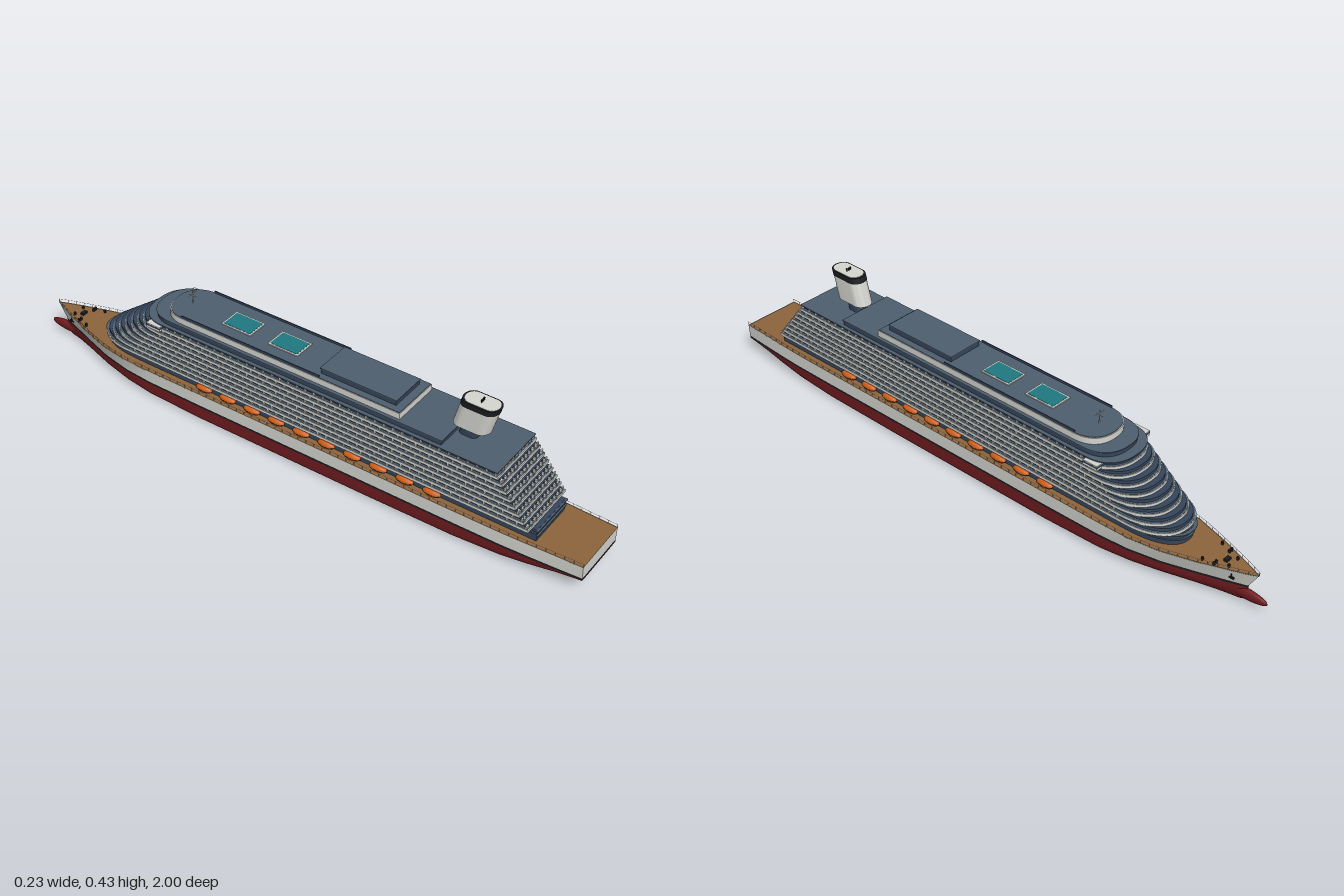
import * as THREE from 'three';
import { mergeGeometries, toCreasedNormals } from 'three/addons/utils/BufferGeometryUtils.js';

const mat = (name, color, side = THREE.FrontSide) => {
  const m = new THREE.MeshStandardMaterial({ color, side });
  m.name = name;
  return m;
};

export function createModel() {
  const white = mat('white paint', 0xd6d6d1, THREE.DoubleSide);
  const red = mat('red hull', 0x701c20, THREE.DoubleSide);
  const black = mat('black', 0x1b1d1f, THREE.DoubleSide);
  const wood = mat('wooden deck', 0x8c643b);
  const navy = mat('navy glass', 0x35455a);
  const roof = mat('blue grey deck', 0x4f5f6e);
  const orange = mat('lifeboat orange', 0xd2601a);
  const teal = mat('pool water', 0x1f7880);
  const brass = mat('brass', 0xa8874c);

  const ship = new THREE.Group();
  ship.name = 'cruiseShip';
  const add = (name, geo, material) => {
    const m = new THREE.Mesh(geo, material);
    m.name = name;
    ship.add(m);
    return m;
  };
  const box = (w, h, d, x, y, z) => new THREE.BoxGeometry(w, h, d).translate(x, y, z);
  const rod = (r, h, x, y, z) => new THREE.CylinderGeometry(r, r, h, 8).translate(x, y, z);

  // ---------- Hull: lofted from stations, stern to bow ----------
  // z, keel height, waterline half width, deck half width, deck height, bilge squareness
  const stations = [
    [1, 0.05, 0.096, 0.099, 0.103, 4], [0.92, 0.029, 0.101, 0.102, 0.103, 3],
    [0.83, 0.005, 0.106, 0.106, 0.103, 3], [0.75, 0, 0.109, 0.109, 0.103, 4],
    [0.6, 0, 0.11, 0.11, 0.103, 7], [0.3, 0, 0.11, 0.11, 0.103, 9],
    [-0.3, 0, 0.11, 0.11, 0.103, 9], [-0.5, 0, 0.108, 0.11, 0.103, 6],
    [-0.6, 0, 0.1, 0.108, 0.104, 4], [-0.7, 0, 0.08, 0.093, 0.105, 3],
    [-0.8, 0, 0.048, 0.064, 0.107, 2.5], [-0.87, 0.001, 0.024, 0.036, 0.109, 2.2],
    [-0.91, 0.003, 0.01, 0.017, 0.11, 2], [-0.935, 0.012, 0.001, 0.0015, 0.111, 2],
  ];
  const rake = z => 0.03 * Math.pow(Math.max(0, (-z - 0.8) / 0.135), 2);
  const LOW = 0.053, HIGH = 0.06;

  function loft(rows) {
    const n = rows[0].length, idx = [];
    for (let i = 0; i < rows.length - 1; i++) for (let j = 0; j < n - 1; j++) {
      const a = i * n + j, b = a + 1, c = a + n, d = c + 1;
      idx.push(a, b, c, b, d, c);
    }
    const g = new THREE.BufferGeometry();
    g.setAttribute('position', new THREE.Float32BufferAttribute(rows.flat(2), 3));
    g.setIndex(idx);
    g.computeVertexNormals();
    return g;
  }
  const flip = pts => pts.map(([x, y, z]) => [-x, y, z]).reverse();
  const bottom = ([z, k, w, , , e]) => {
    const half = [];
    for (let i = 0; i <= 12; i++) {
      const t = i / 12 * Math.PI / 2;
      half.push([w * Math.pow(Math.max(0, Math.cos(t)), 2 / e), LOW - (LOW - k) * Math.pow(Math.sin(t), 2 / e), z]);
    }
    return [...half, ...flip(half).slice(1)];
  };
  const topside = ([z, , w, d, h]) => [[d, h, z - rake(z)], [(w + d) / 2, (h + HIGH) / 2, z - rake(z) * 0.5], [w, HIGH, z]];
  const stripe = ([z, , w]) => [[w, HIGH, z], [w, LOW, z]];
  add('hullBottom', loft(stations.map(bottom)), red);
  for (const side of [p => p, flip]) {
    add('hullTopside', loft(stations.map(s => side(topside(s)))), white);
    add('waterlineStripe', loft(stations.map(s => side(stripe(s)))), black);
  }
  add('mainDeck', loft(stations.map(([z, , , d, h]) => [[-d, h - 0.002, z - rake(z)], [d, h - 0.002, z - rake(z)]])), wood);
  const plate = pts => new THREE.ShapeGeometry(new THREE.Shape(pts.map(p => new THREE.Vector2(p[0], p[1])))).translate(0, 0, 1);
  const t0 = topside(stations[0]), s0 = stripe(stations[0]);
  add('transomBottom', plate(bottom(stations[0])), red);
  add('transom', plate([...t0, ...flip(t0)]), white);
  add('transomStripe', plate([...s0, ...flip(s0)]), black);
  add('bulbousBow', new THREE.SphereGeometry(1, 20, 14).scale(0.012, 0.018, 0.075).translate(0, 0.03, -0.925), red);

  // Deck edge railings, rudders, propellers, anchors and mooring gear
  const rails = [];
  for (const s of [1, -1]) {
    const edge = new THREE.CatmullRomCurve3(stations.map(([z, , , d, h]) => new THREE.Vector3(s * d * 0.98, h + 0.01, z - rake(z))));
    rails.push(new THREE.TubeGeometry(edge, 80, 0.0006, 4));
    for (const p of edge.getSpacedPoints(70)) rails.push(box(0.001, 0.01, 0.001, p.x, p.y - 0.005, p.z));

    add('rudder', box(0.006, 0.042, 0.03, s * 0.042, 0.035, 0.945), red);
    add('propellerShaft', new THREE.CylinderGeometry(0.004, 0.004, 0.1, 10).rotateX(Math.PI / 2).translate(s * 0.042, 0.026, 0.87), red);
    const blades = [new THREE.SphereGeometry(0.004, 10, 8)];
    for (let i = 0; i < 5; i++) {
      blades.push(new THREE.SphereGeometry(1, 8, 6).scale(0.004, 0.008, 0.001).rotateY(0.6)
        .translate(0, 0.009, 0).rotateZ(s * i * Math.PI * 0.4));
    }
    add('propeller', mergeGeometries(blades).translate(s * 0.042, 0.026, 0.924), brass);
    add('anchor', mergeGeometries([box(0.006, 0.018, 0.004, s * 0.023, 0.085, -0.893), box(0.006, 0.005, 0.016, s * 0.022, 0.078, -0.893)]), black);
    for (const [x, z] of [[0.03, -0.845], [0.04, -0.845], [0.02, -0.88], [0.045, -0.81]]) {
      add('bollard', rod(0.004, 0.01, s * x, 0.111, z), black);
    }
  }
  add('deckRailing', mergeGeometries(rails), white);
  add('windlass', box(0.02, 0.008, 0.012, 0, 0.11, -0.86), black);

  // ---------- Superstructure ----------
  // Flat-sterned, round-nosed slab
  function slab(name, hw, aft, fwd, nose, y, h, material) {
    const pts = [[-hw, -aft], [hw, -aft]];
    for (let i = 0; i <= 24; i++) {
      const t = i / 24 * Math.PI, c = Math.cos(t);
      pts.push([hw * Math.sign(c) * Math.pow(Math.abs(c), 0.85), -fwd - nose + nose * Math.pow(Math.max(0, Math.sin(t)), 0.85)]);
    }
    const shape = new THREE.Shape(pts.map(p => new THREE.Vector2(...p)));
    const g = new THREE.ExtrudeGeometry(shape, { depth: h, bevelEnabled: false }).rotateX(-Math.PI / 2).translate(0, y, 0);
    return add(name, toCreasedNormals(g, 0.5), material);
  }
  slab('promenadeHouse', 0.08, 0.845, -0.73, 0.16, 0.1, 0.04, navy);
  slab('promenadeLedge', 0.082, 0.85, -0.735, 0.16, 0.119, 0.003, roof);
  slab('promenadeRoof', 0.084, 0.85, -0.74, 0.16, 0.136, 0.003, roof);

  // Stepped balcony decks: glass core, white parapet, partitions
  const DECKS = 8, STEP = 0.0194, partitions = [];
  for (let i = 0; i < DECKS; i++) {
    const t = i / (DECKS - 1), y = 0.14 + i * STEP;
    const aft = 0.83 - 0.105 * t, fwd = -0.725 + 0.185 * t, nose = 0.14 - 0.04 * t;
    slab('cabinDeck', 0.097, aft - 0.01, fwd + 0.008, nose, y, STEP, navy);
    slab('balconyParapet', 0.105, aft, fwd, nose + 0.005, y, 0.009, white);
    slab('balconyFloor', 0.1035, aft - 0.002, fwd + 0.002, nose + 0.005, y + 0.009, 0.0008, roof);
    const py = y + 0.014, ph = STEP - 0.009;
    for (let z = aft - 0.008; z > fwd + nose; z -= 0.03) {
      for (const s of [1, -1]) partitions.push(box(0.007, ph, 0.004, s * 0.1, py, z));
    }
    for (let k = -5; k <= 5; k++) partitions.push(box(0.005, ph, 0.008, k * 0.0182 + (i % 2 ? 0.003 : -0.003), py, aft - 0.007));
  }
  add('balconyPartitions', mergeGeometries(partitions), white);
  slab('cabinRoof', 0.104, 0.722, -0.537, 0.1, 0.295, 0.003, roof);

  // Bridge wings
  for (const s of [1, -1]) {
    add('bridgeWing', box(0.03, 0.016, 0.05, s * 0.1, 0.286, -0.465), white);
    add('bridgeWingWindow', box(0.0305, 0.006, 0.051, s * 0.1, 0.288, -0.465), navy);
  }

  // Upper decks
  slab('upperLounge', 0.092, 0.537, -0.507, 0.095, 0.297, 0.016, navy);
  slab('upperLoungeRoof', 0.094, 0.54, -0.51, 0.095, 0.312, 0.003, roof);
  slab('poolDeckHouse', 0.083, 0.395, -0.46, 0.085, 0.315, 0.02, white);
  slab('poolDeck', 0.081, 0.393, -0.457, 0.085, 0.335, 0.002, roof);
  for (const s of [1, -1]) add('windScreen', box(0.003, 0.008, 0.5, s * 0.08, 0.34, -0.13), navy);
  add('sportsHall', box(0.12, 0.017, 0.255, 0, 0.344, 0.24), navy);
  add('sportsHallRoof', box(0.124, 0.003, 0.26, 0, 0.354, 0.24), roof);
  for (const z of [-0.21, -0.04]) {
    add('poolRim', box(0.074, 0.003, 0.106, 0, 0.3385, z), white);
    add('poolWater', box(0.064, 0.003, 0.096, 0, 0.3392, z), teal);
  }
  add('radarMast', mergeGeometries([rod(0.0015, 0.045, 0, 0.358, -0.4), box(0.04, 0.002, 0.002, 0, 0.37, -0.4),
    box(0.002, 0.002, 0.025, 0, 0.363, -0.4)]), white);

  // Raked funnel
  function funnelPart(name, hw, hl, y, h, material) {
    const r = hw * 0.9, shape = new THREE.Shape();
    shape.absarc(0, hl - r, r, 0, Math.PI, false);
    shape.absarc(0, r - hl, r, Math.PI, Math.PI * 2, false);
    const g = new THREE.ExtrudeGeometry(shape, { depth: h, bevelEnabled: false, curveSegments: 16 })
      .rotateX(-Math.PI / 2).scale(1 / 0.9, 1, 1).translate(0, y, 0.58);
    const p = g.attributes.position;
    for (let i = 0; i < p.count; i++) p.setZ(i, p.getZ(i) + (p.getY(i) - 0.33) * 0.27);
    g.computeVertexNormals();
    add(name, toCreasedNormals(g, 0.6), material);
  }
  funnelPart('funnelPedestal', 0.018, 0.03, 0.297, 0.034, navy);
  funnelPart('funnel', 0.0315, 0.058, 0.33, 0.075, white);
  funnelPart('funnelBand', 0.0325, 0.059, 0.405, 0.018, black);
  funnelPart('funnelTop', 0.028, 0.053, 0.423, 0.001, white);
  for (const x of [-0.007, 0, 0.007]) add('exhaustPipe', rod(0.0022, 0.012, x, 0.427, 0.605), black);

  // Lifeboats hung along both sides
  for (const s of [1, -1]) for (let i = 0; i < 10; i++) {
    const z = 0.52 - i * 0.09, x = s * 0.098;
    add('lifeboat', new THREE.SphereGeometry(1, 16, 10).scale(0.013, 0.0125, 0.03).translate(x, 0.123, z), orange);
    add('lifeboatFender', new THREE.CylinderGeometry(1, 1, 1, 16).scale(0.0133, 0.0015, 0.0305).translate(x, 0.122, z), black);
    add('davits', mergeGeometries([-0.018, 0.018].map(o => box(0.003, 0.014, 0.003, x, 0.136, z + o))), white);
  }
  return ship;
}
